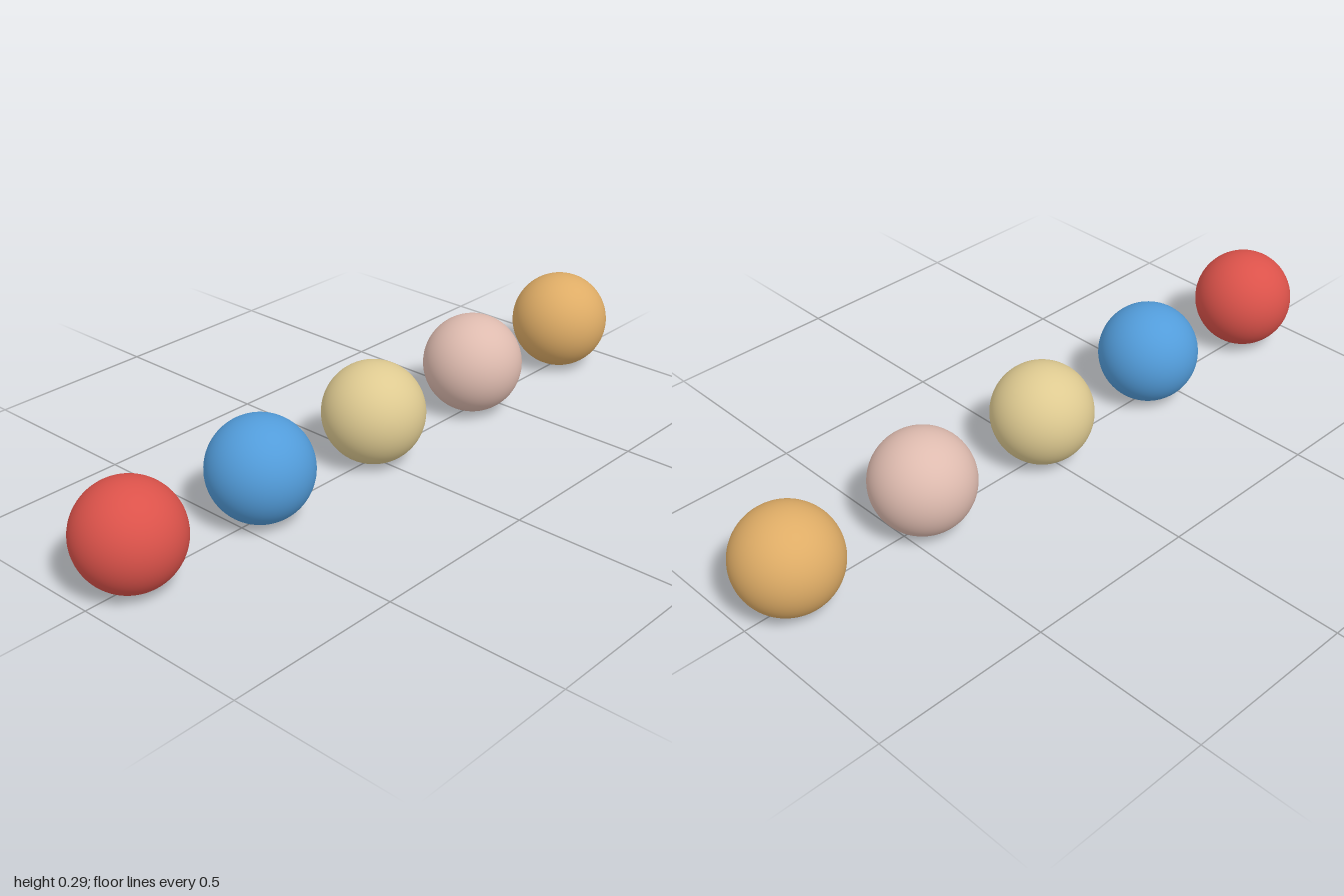
import * as THREE from 'three';

// Five equal balls in a row, gaps half a ball's diameter
const RADIUS = 1 / 7;
const SPACING = 3 / 7;
const BALLS = [
  ['red', 0xdb524a],
  ['blue', 0x529cda],
  ['sand', 0xdeca91],
  ['pink', 0xdebbaf],
  ['orange', 0xdeac66],
];

export function createModel() {
  const model = new THREE.Group();
  model.name = 'ballRow';
  const sphere = new THREE.SphereGeometry(RADIUS, 64, 48);

  BALLS.forEach(([name, color], i) => {
    const material = new THREE.MeshStandardMaterial({ color });
    material.name = name;
    const ball = new THREE.Mesh(sphere, material);
    ball.name = `${name}Ball`;
    ball.position.set((i - 2) * SPACING, RADIUS, 0);
    model.add(ball);
  });

  return model;
}
